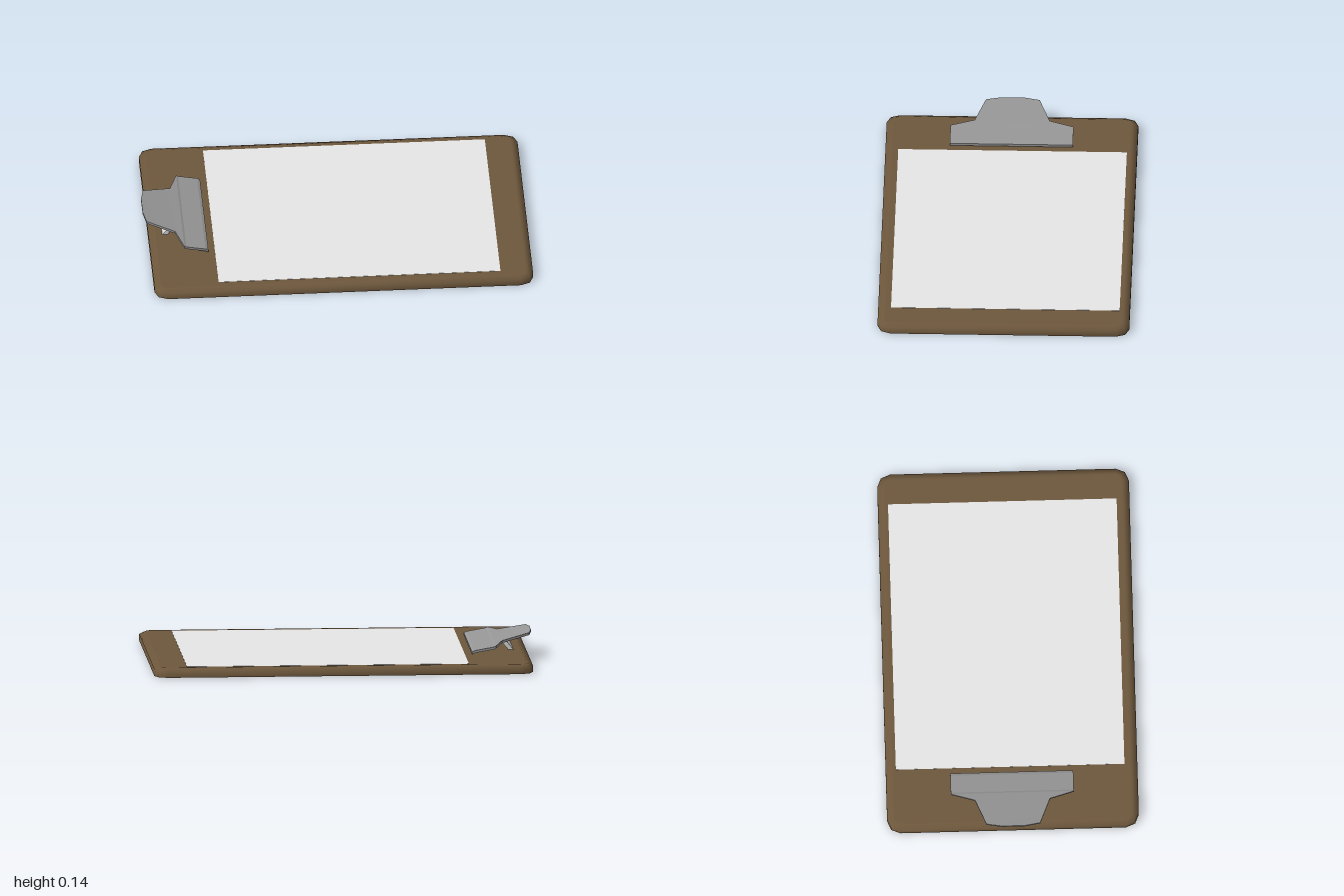
import * as THREE from 'three';
import { toCreasedNormals } from 'three/addons/utils/BufferGeometryUtils.js';

const flat = (name, color) => {
  const m = new THREE.MeshStandardMaterial({ color });
  m.name = name;
  return m;
};

// Closed solid from rings of equal point count, capped at both ends.
function loft(rings) {
  const n = rings[0].length, pos = [], idx = [];
  rings.forEach(r => r.forEach(p => pos.push(...p)));
  for (let i = 0; i < rings.length - 1; i++)
    for (let j = 0; j < n; j++) {
      const a = i * n + j, b = i * n + (j + 1) % n;
      idx.push(a, a + n, b, b, a + n, b + n);
    }
  const last = (rings.length - 1) * n;
  for (let j = 1; j < n - 1; j++) {
    idx.push(0, j, j + 1);
    idx.push(last, last + j + 1, last + j);
  }
  const g = new THREE.BufferGeometry();
  g.setAttribute('position', new THREE.Float32BufferAttribute(pos, 3));
  g.setIndex(idx);
  return g;
}

// Rounded rectangle ring at height y, pulled in by inset.
function boardRing(y, inset) {
  const hx = 0.987 - inset, hz = 0.655 - inset, r = 0.068 - inset, ring = [];
  const corners = [[1, 1], [-1, 1], [-1, -1], [1, -1]];
  corners.forEach(([sx, sz], c) => {
    for (let k = 0; k <= 2; k++) {
      const a = (c + k / 2) * Math.PI / 2;
      ring.push([0.0125 + sx * (hx - r) + r * Math.cos(a), y, sz * (hz - r) + r * Math.sin(a)]);
    }
  });
  return ring;
}

export function createModel() {
  const wood = flat('brown board', 0x6e583d);
  const white = flat('white paper', 0xe8e8e8);
  const metal = flat('grey metal', 0x969696);
  const lightMetal = flat('light metal', 0xdcdcdc);

  const group = new THREE.Group();
  const add = (name, geometry, material) => {
    const mesh = new THREE.Mesh(geometry, material);
    mesh.name = name;
    group.add(mesh);
    return mesh;
  };

  // Board with rounded corners and a softly eased top edge
  const board = loft([boardRing(0, 0), boardRing(0.035, 0), boardRing(0.048, 0.03), boardRing(0.048, 0.04)]);
  add('board', toCreasedNormals(board, 1.3), wood);

  // Sheet of paper
  add('paper', new THREE.BoxGeometry(1.47, 0.002, 1.19), white).position.set(0.095, 0.0482, -0.007);

  // Clip plate: sections along x as [x, top height, half width]
  const t = 0.013;
  const sections = [
    [-1, 0.14, 0.06], [-0.985, 0.136, 0.14], [-0.84, 0.104, 0.195],
    [-0.8, 0.096, 0.32], [-0.79, 0.091, 0.32], [-0.69, 0.073, 0.32], [-0.675, 0.066, 0.32],
  ];
  const clip = loft(sections.map(([x, y, w]) =>
    [[x, y, w], [x, y, -w], [x, y - t, -w], [x, y - t, w]]));
  add('clipPlate', toCreasedNormals(clip, 0.1), metal);

  // Slanted bracket that carries the clip
  const bracket = new THREE.Shape([[-0.905, 0.046], [-0.878, 0.046], [-0.838, 0.094], [-0.862, 0.099]]
    .map(p => new THREE.Vector2(...p)));
  const bracketGeo = new THREE.ExtrudeGeometry(bracket, { depth: 0.28, bevelEnabled: false });
  add('clipBracket', bracketGeo, lightMetal).position.z = -0.14;

  return group;
}
